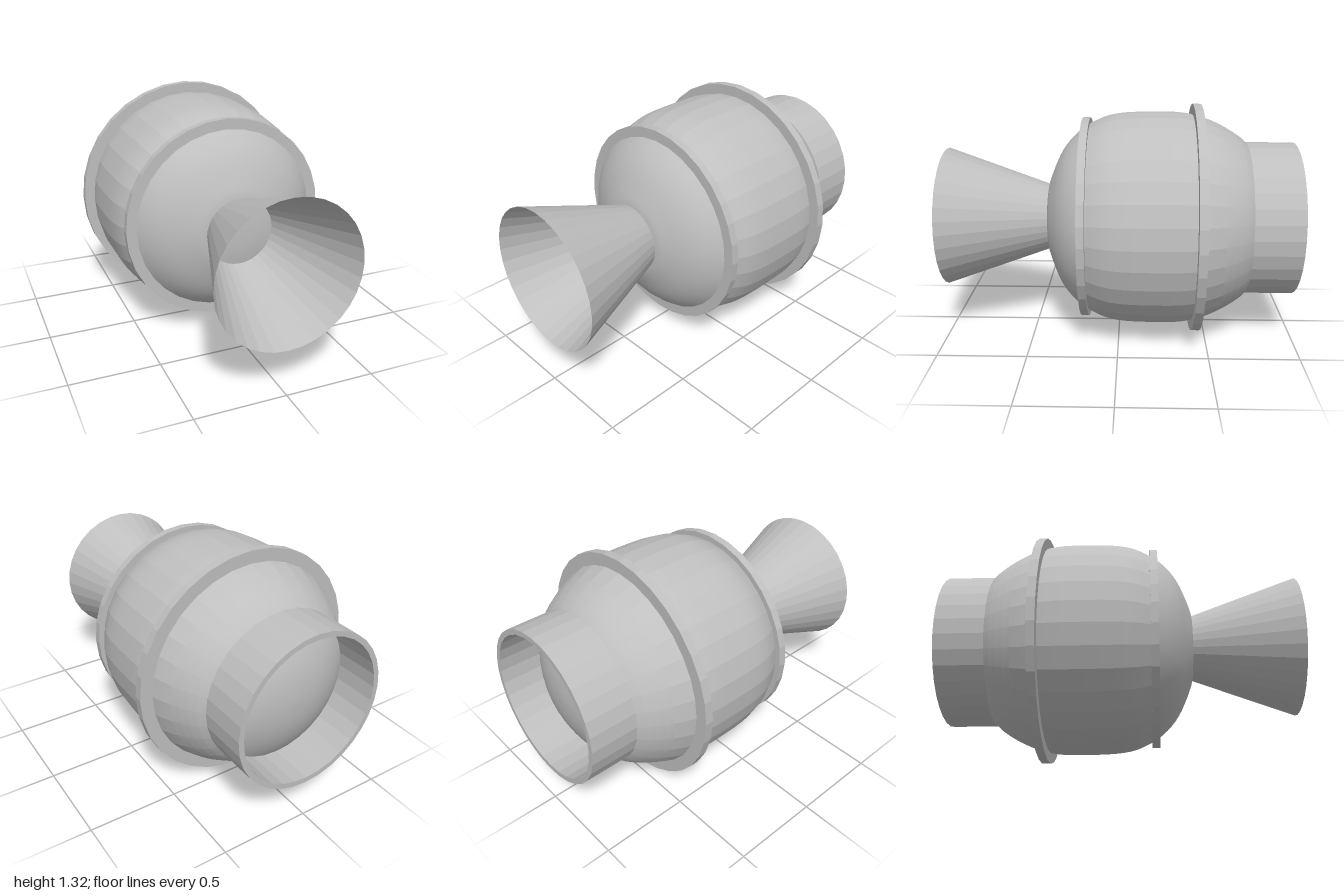
import * as THREE from 'three';
import { toCreasedNormals } from 'three/addons/utils/BufferGeometryUtils.js';

const SIDES = 32;
const AXIS_HEIGHT = 0.66;
const CREASE = THREE.MathUtils.degToRad(10);

export function createModel() {
  const model = new THREE.Group();
  model.name = 'thruster';

  const metal = new THREE.MeshStandardMaterial({ color: 0xbfbfbf });
  metal.name = 'grey metal';
  const sheet = new THREE.MeshStandardMaterial({ color: 0xbfbfbf, side: THREE.DoubleSide });
  sheet.name = 'grey sheet metal';

  // Turns a profile of [radius, z] points around the z axis
  function turned(name, profile, material = metal) {
    const points = profile.map(([r, z]) => new THREE.Vector2(r, z));
    const geometry = new THREE.LatheGeometry(points, SIDES).rotateX(Math.PI / 2);
    const mesh = new THREE.Mesh(toCreasedNormals(geometry, CREASE), material);
    mesh.name = name;
    mesh.position.y = AXIS_HEIGHT;
    model.add(mesh);
  }

  // Closed rectangular band between two radii
  function band(name, inner, outer, back, front) {
    turned(name, [[inner, back], [outer, back], [outer, front], [inner, front], [inner, back]]);
  }

  // Tank: rounded rear dome, short waist, rounder front dome
  const tankCurve = new THREE.SplineCurve([
    [0, -0.88], [0.15, -0.865], [0.3, -0.815], [0.44, -0.725], [0.525, -0.61],
    [0.583, -0.48], [0.61, -0.36], [0.615, -0.22], [0.61, -0.04], [0.59, 0.075],
    [0.55, 0.165], [0.52, 0.214], [0.455, 0.283], [0.37, 0.34], [0.245, 0.393],
    [0.19, 0.407], [0.1, 0.42], [0, 0.424],
  ].map(([r, z]) => new THREE.Vector2(r, z)));
  turned('tank', tankCurve.getPoints(51).map((p) => [Math.max(p.x, 0), p.y]));

  // Flanges around the tank
  band('frontFlange', 0.5, 0.58, 0.17, 0.213);
  band('rearFlange', 0.57, 0.66, -0.462, -0.415);

  // Open collar at the rear
  band('rearCollar', 0.41, 0.44, -1, -0.7);

  // Thin flared nozzle at the front
  turned('nozzle', [[0.19, 0.405], [0.4, 1]], sheet);

  return model;
}
